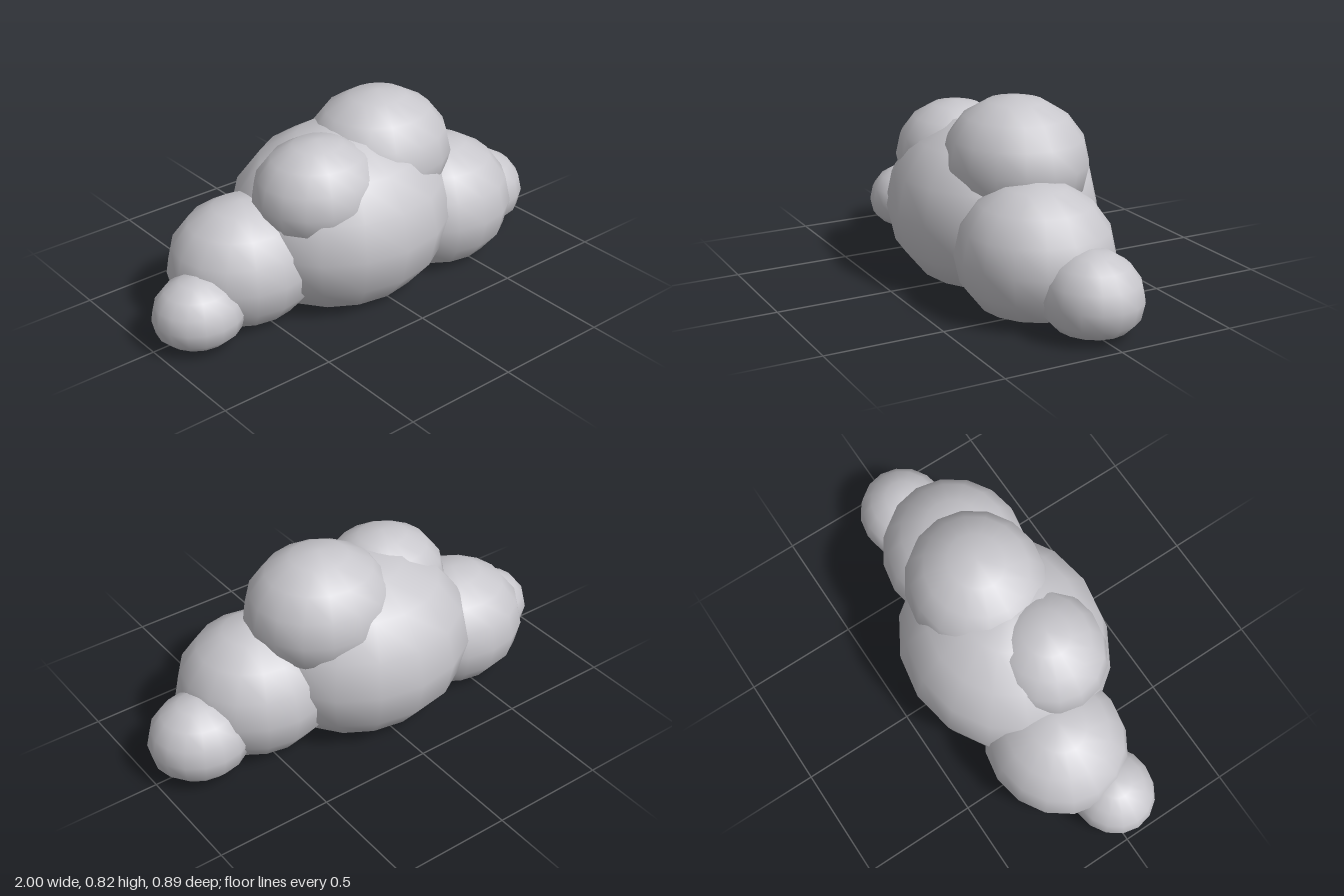
import * as THREE from 'three';
import { mergeVertices } from 'three/addons/utils/BufferGeometryUtils.js';

// Below this height every puff is pressed nearly flat
const FLOOR = 0.04, SQUASH = 0.265;

// name, centre, radii
const PUFFS = [
  ['mainPuff', [-0.035, 0.31, 0], [0.5, 0.41, 0.445]],
  ['topLeftPuff', [0.17, 0.55, 0], [0.328, 0.275, 0.303]],
  ['topRightPuff', [-0.217, 0.503, 0.08], [0.286, 0.237, 0.258]],
  ['middleLeftPuff', [0.457, 0.242, 0.068], [0.344, 0.303, 0.325]],
  ['middleRightPuff', [-0.51, 0.228, -0.05], [0.33, 0.28, 0.301]],
  ['endLeftPuff', [0.783, 0.153, 0], [0.217, 0.19, 0.203]],
  ['endRightPuff', [-0.805, 0.135, 0.045], [0.195, 0.165, 0.18]],
];

// Low-poly ellipsoid with a flattened underside and smooth normals
function puffGeometry(centre, radii) {
  let geo = new THREE.SphereGeometry(1, 16, 8);
  geo.scale(...radii).translate(...centre);
  const p = geo.attributes.position;
  for (let i = 0; i < p.count; i++) {
    const y = p.getY(i);
    if (y < FLOOR) p.setY(i, FLOOR + (y - FLOOR) * SQUASH);
  }
  geo.deleteAttribute('uv');
  geo.deleteAttribute('normal');
  geo = mergeVertices(geo, 1e-4);
  geo.computeVertexNormals();
  return geo;
}

export function createModel() {
  const cloud = new THREE.Group();
  cloud.name = 'cloud';
  const cloudGrey = new THREE.MeshStandardMaterial({ color: 0xc8c7cc });
  cloudGrey.name = 'cloudGrey';
  for (const [name, centre, radii] of PUFFS) {
    const mesh = new THREE.Mesh(puffGeometry(centre, radii), cloudGrey);
    mesh.name = name;
    cloud.add(mesh);
  }
  return cloud;
}
